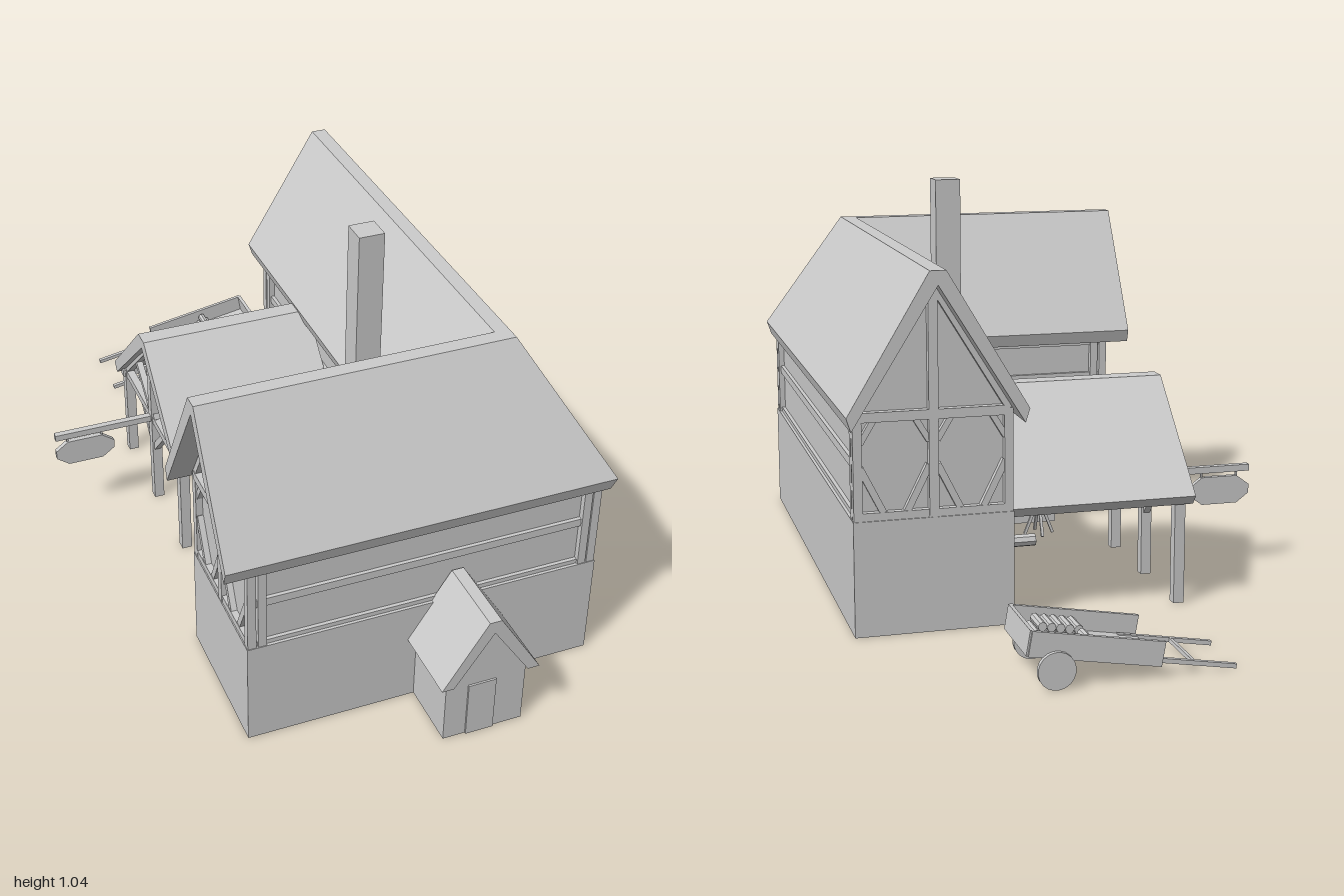
import * as THREE from 'three';

const mat = new THREE.MeshStandardMaterial({ color: 0xcccccc, flatShading: true, side: THREE.DoubleSide });

function add(parent, name, geo, x = 0, y = 0, z = 0) {
  const m = new THREE.Mesh(geo, mat);
  m.name = name;
  m.position.set(x, y, z);
  parent.add(m);
  return m;
}

// Box given by its limits on each axis
function box(parent, name, x0, x1, y0, y1, z0, z1) {
  return add(parent, name, new THREE.BoxGeometry(x1 - x0, y1 - y0, z1 - z0),
    (x0 + x1) / 2, (y0 + y1) / 2, (z0 + z1) / 2);
}

// Square timber between two points
function beam(parent, name, a, b, w = 0.02) {
  const p = new THREE.Vector3(...a), q = new THREE.Vector3(...b);
  const m = add(parent, name, new THREE.BoxGeometry(w, w, p.distanceTo(q)));
  m.position.copy(p).add(q).multiplyScalar(0.5);
  m.lookAt(q);
  return m;
}

// Sweep a closed profile [u, y] through stations that map it into space
function sweep(profile, stations) {
  const pos = [], n = profile.length;
  const at = (s, i) => stations[s](...profile[i % n]);
  for (let s = 0; s + 1 < stations.length; s++)
    for (let i = 0; i < n; i++) {
      const a = at(s, i), b = at(s, i + 1), c = at(s + 1, i + 1), d = at(s + 1, i);
      pos.push(...a, ...d, ...c, ...a, ...c, ...b);
    }
  const tris = THREE.ShapeUtils.triangulateShape(profile.map(p => new THREE.Vector2(...p)), []);
  for (const s of [0, stations.length - 1])
    for (const t of tris) for (const i of t) pos.push(...at(s, i));
  const g = new THREE.BufferGeometry();
  g.setAttribute('position', new THREE.Float32BufferAttribute(pos, 3));
  g.computeVertexNormals();
  return g;
}

const CX = 0.36, CZ = 0.6;   // centre lines of the two wings

// L-shaped path: back gable, mitred corner, side gable
const ell = (zEnd, xEnd) => [
  (u, y) => [CX + u, y, zEnd],
  (u, y) => [CX + u, y, CZ + u],
  (u, y) => [xEnd, y, CZ + u],
];

// Chevron roof section with a narrow flat ridge
const chevron = (w, eave, ridge, flat, lowW, lowY, inner) => [
  [-w, eave], [-flat, ridge], [flat, ridge], [w, eave], [lowW, lowY], [0, inner], [-lowW, lowY]];

function house(g) {
  add(g, 'groundFloor', sweep([[-0.2, 0], [-0.2, 0.29], [0.2, 0.29], [0.2, 0]], ell(-0.545, -0.385)));
  add(g, 'upperFloor', sweep([[-0.182, 0.28], [-0.182, 0.55], [0, 0.85], [0.182, 0.55], [0.182, 0.28]],
    ell(-0.525, -0.365)));
  add(g, 'mainRoof', sweep(chevron(0.223, 0.56, 0.9, 0.02, 0.212, 0.525, 0.865), ell(-0.605, -0.445)));

  // Rails running round the long walls
  for (const s of [-1, 1])
    for (const [y0, y1] of [[0.29, 0.302], [0.41, 0.432], [0.515, 0.535]]) {
      const a = s * 0.17, b = s * 0.192;
      add(g, 'wallRail', sweep([[a, y0], [a, y1], [b, y1], [b, y0]], ell(-0.52, -0.36)));
    }

  // Posts at the wall ends and the outer corner
  const post = (x, z) => box(g, 'wallPost', x - 0.011, x + 0.011, 0.29, 0.55, z - 0.011, z + 0.011);
  for (const u of [-0.187, 0.187]) {
    post(CX + u, -0.532); post(CX + u, -0.505);
    post(-0.372, CZ + u); post(-0.345, CZ + u);
  }
  post(0.547, 0.787); post(0.522, 0.787); post(0.547, 0.762);

  // Timber framing of both gable ends
  const gables = [(u, y) => [CX + u, y, -0.532], (u, y) => [-0.372, y, CZ + u]];
  for (const p of gables) {
    beam(g, 'gablePost', p(0, 0.29), p(0, 0.86), 0.024);
    beam(g, 'gableTie', p(-0.19, 0.545), p(0.19, 0.545), 0.024);
    beam(g, 'gableSill', p(-0.19, 0.3), p(0.19, 0.3));
    for (const s of [-1, 1]) {
      beam(g, 'gableRafter', p(s * 0.19, 0.55), p(0, 0.86));
      for (const [a, b] of [[0.18, 0.12], [0.01, 0.07]]) {
        beam(g, 'gableBrace', p(s * a, 0.42), p(s * b, 0.3), 0.017);
        beam(g, 'gableBrace', p(s * a, 0.48), p(s * (a + (b - a) * 0.6), 0.54), 0.015);
      }
    }
  }
  box(g, 'yardDoor', 0.15, 0.165, 0, 0.2, -0.2, -0.1);
}

function chimney(g) {
  box(g, 'chimneyBase', 0.075, 0.19, 0, 0.36, 0.14, 0.31);
  // Sloping shoulder between the base and the shaft
  const ring = (x0, x1, y, z0, z1) => (u, v) => [x0 + (x1 - x0) * u, y, z0 + (z1 - z0) * v];
  add(g, 'chimneyShoulder', sweep([[0, 0], [1, 0], [1, 1], [0, 1]],
    [ring(0.075, 0.19, 0.36, 0.14, 0.31), ring(0.115, 0.185, 0.46, 0.195, 0.265)]));
  box(g, 'chimneyShaft', 0.115, 0.185, 0.45, 1.04, 0.195, 0.265);
}

function porch(g) {
  const cx = 0.173, along = z => (u, y) => [cx + u, y, z];
  add(g, 'porchWalls', sweep([[-0.108, 0], [-0.108, 0.19], [0, 0.345], [0.108, 0.19], [0.108, 0]],
    [along(0.79), along(0.975)]));
  add(g, 'porchRoof', sweep(chevron(0.132, 0.187, 0.37, 0.016, 0.1, 0.187, 0.335),
    [along(0.79), along(1)]));
  box(g, 'porchDoor', 0.125, 0.2, 0, 0.16, 0.97, 0.98);
}

function shelter(g) {
  const cz = -0.23, along = x => (u, y) => [x, y, cz + u];
  add(g, 'shelterRoof', sweep(chevron(0.3, 0.29, 0.55, 0.025, 0.28, 0.265, 0.518), [along(0.17), along(-0.32)]));
  // Post row, tie beam and braces at the open end
  const x = -0.29;
  beam(g, 'shelterPost', [x, 0, cz], [x, 0.52, cz], 0.028);
  beam(g, 'shelterTie', [x, 0.277, cz - 0.27], [x, 0.277, cz + 0.27], 0.022);
  for (const s of [-1, 1]) {
    beam(g, 'shelterPost', [x, 0, cz + s * 0.255], [x, 0.29, cz + s * 0.255], 0.028);
    beam(g, 'shelterBrace', [x, 0.29, cz + s * 0.02], [x, 0.38, cz + s * 0.14], 0.018);
    beam(g, 'shelterBrace', [x, 0.17, cz], [x, 0.275, cz + s * 0.1], 0.018);
    beam(g, 'shelterRafter', [x, 0.27, cz + s * 0.27], [x, 0.52, cz], 0.02);
    beam(g, 'shelterPlate', [-0.31, 0.277, cz + s * 0.255], [0.16, 0.277, cz + s * 0.255], 0.02);
  }
  // Long pole carrying the hanging board
  beam(g, 'signPole', [-0.585, 0.277, cz - 0.003], [0.16, 0.277, cz - 0.003], 0.018);
  const s = new THREE.Shape([[-0.085, -0.012], [-0.05, -0.038], [0.05, -0.038], [0.085, -0.012],
    [0.085, 0.012], [0.05, 0.038], [-0.05, 0.038], [-0.085, 0.012]].map(p => new THREE.Vector2(...p)));
  add(g, 'signBoard', new THREE.ExtrudeGeometry(s, { depth: 0.014, bevelEnabled: false }), -0.5, 0.218, cz - 0.01);
  for (const dx of [-0.05, 0.05])
    beam(g, 'signHanger', [-0.5 + dx, 0.25, cz - 0.003], [-0.5 + dx, 0.275, cz - 0.003], 0.005);
}

function yard(g) {
  // Bench against the wall
  box(g, 'bench', -0.2, 0.08, 0, 0.07, 0.32, 0.4);
  box(g, 'benchTop', -0.215, 0.09, 0.065, 0.08, 0.31, 0.36);
  // Stool with splayed legs
  add(g, 'stoolSeat', new THREE.CylinderGeometry(0.026, 0.026, 0.012, 12), -0.115, 0.08, 0.2);
  for (const [i, j] of [[1, 0], [-1, 0], [0, 1], [0, -1]])
    beam(g, 'stoolLeg', [-0.115 + i * 0.012, 0.078, 0.2 + j * 0.012], [-0.115 + i * 0.042, 0.003, 0.2 + j * 0.042], 0.008);
  // Cut log lying in the yard
  const log = add(g, 'log', new THREE.CylinderGeometry(0.018, 0.018, 0.1, 8), -0.022, 0.018, 0.09);
  log.rotation.z = Math.PI / 2;
}

function cart(g) {
  // Built round the axle, then tipped onto its handles
  box(g, 'cartFloor', -0.25, 0.07, 0.025, 0.037, -0.095, 0.095);
  for (const s of [-1, 1]) {
    box(g, 'cartSide', -0.25, 0.07, 0.025, 0.085, s * 0.095 - 0.005, s * 0.095 + 0.005);
    beam(g, 'cartHandle', [-0.44, 0.035, s * 0.08], [-0.2, 0.035, s * 0.08], 0.011);
    const w = add(g, 'cartWheel', new THREE.CylinderGeometry(0.045, 0.045, 0.012, 20), 0, 0, s * 0.104);
    w.rotation.x = Math.PI / 2;
  }
  box(g, 'cartTailboard', 0.064, 0.074, 0.025, 0.085, -0.095, 0.095);
  beam(g, 'cartCrossbar', [-0.335, 0.035, -0.08], [-0.335, 0.035, 0.08], 0.009);
  beam(g, 'cartAxle', [0, 0, -0.1], [0, 0, 0.1], 0.012);
  // Stacked logs
  const stack = (z, len, x0, rows) => rows.forEach((n, r) => {
    for (let i = 0; i < n; i++) {
      const l = add(g, 'cartLog', new THREE.CylinderGeometry(0.011, 0.011, len, 8),
        x0 + (i + r * 0.5) * 0.022, 0.047 + r * 0.019, z);
      l.rotation.x = Math.PI / 2;
    }
  });
  stack(-0.035, 0.07, -0.085, [6, 5]);
  stack(0.05, 0.06, -0.085, [2, 1]);
  g.rotation.z = 0.17;
  g.position.set(0.185, 0.045, -0.892);
  // Mirror so the larger stack lies nearer the house
  g.scale.z = -1;
}

export function createModel() {
  const root = new THREE.Group();
  root.name = 'farmstead';
  for (const [name, build] of Object.entries({ house, chimney, porch, shelter, yard, cart })) {
    const g = new THREE.Group();
    g.name = name;
    build(g);
    root.add(g);
  }
  return root;
}
